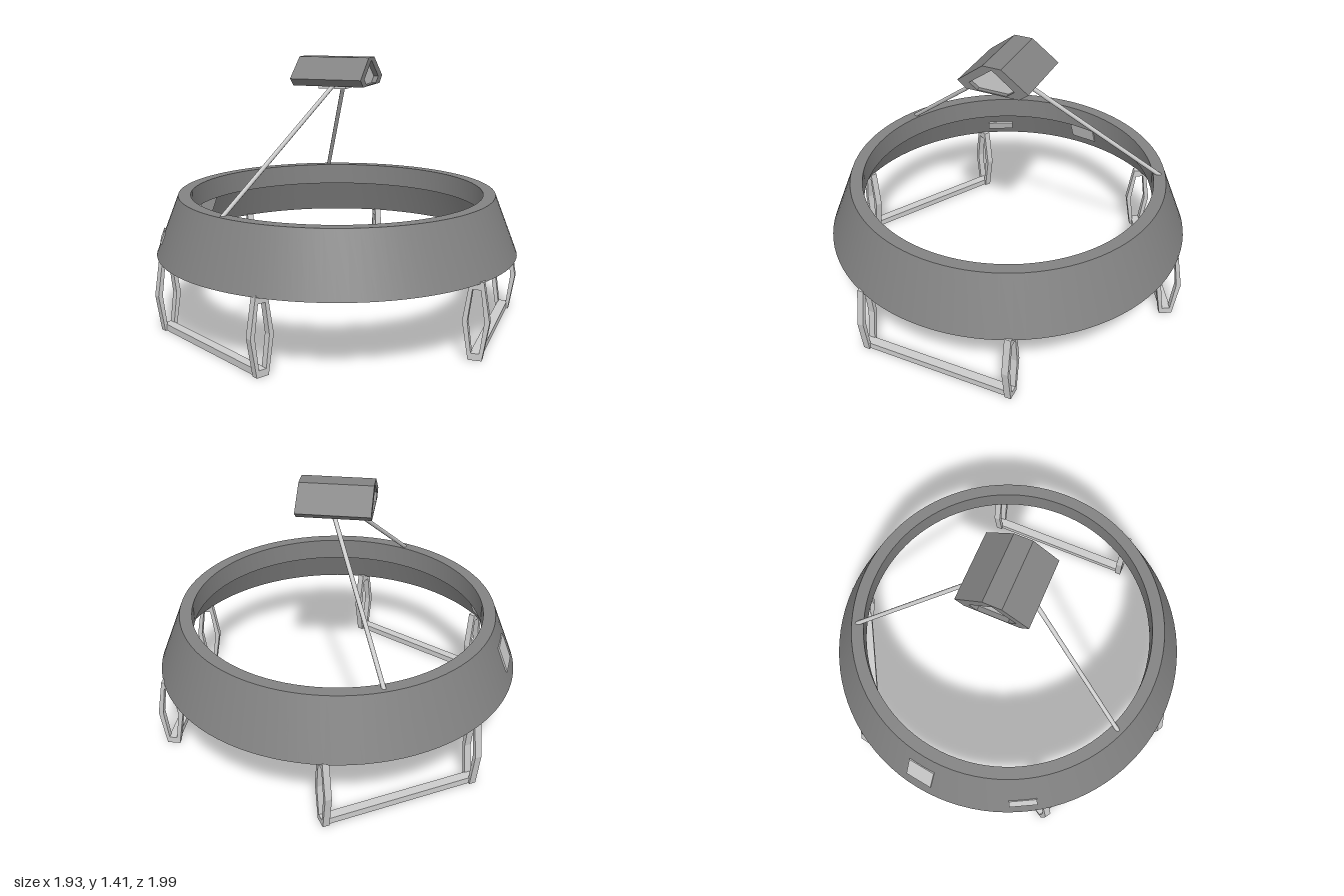
import * as THREE from 'three';
import { toCreasedNormals } from 'three/addons/utils/BufferGeometryUtils.js';

const grey = new THREE.MeshStandardMaterial({ color: 0xcccccc });
const darkGrey = new THREE.MeshStandardMaterial({ color: 0x828282 });
const vec = (pairs) => pairs.map(([x, y]) => new THREE.Vector2(x, y));

function addMesh(parent, name, geometry, material, x = 0, y = 0, z = 0) {
  const mesh = new THREE.Mesh(geometry, material);
  mesh.name = name;
  mesh.position.set(x, y, z);
  parent.add(mesh);
  return mesh;
}

// Extrudes an outline, with an optional hole, centred along its depth
function slab(outline, hole, depth) {
  const shape = new THREE.Shape(vec(outline));
  if (hole) shape.holes.push(new THREE.Path(vec(hole)));
  return new THREE.ExtrudeGeometry(shape, { depth, bevelEnabled: false }).translate(0, 0, -depth / 2);
}

// Thin rod between two points
function addRod(parent, name, from, to, radius) {
  const dir = to.clone().sub(from);
  const rod = addMesh(parent, name, new THREE.CylinderGeometry(radius, radius, dir.length(), 8), grey);
  rod.position.copy(from).add(to).multiplyScalar(0.5);
  rod.quaternion.setFromUnitVectors(new THREE.Vector3(0, 1, 0), dir.normalize());
}

export function createModel() {
  const model = new THREE.Group();
  model.name = 'ringStation';

  // Sloped ring with a thicker lip at the top of its inner side
  const profile = vec([
    [0.965, 0.388], [0.845, 0.698], [0.78, 0.698], [0.78, 0.58],
    [0.836, 0.58], [0.91, 0.388], [0.965, 0.388],
  ]);
  addMesh(model, 'ring', toCreasedNormals(new THREE.LatheGeometry(profile, 96), 0.3), darkGrey);

  // Light panels set through the sloped wall: [angle, height of centre, slope height, width]
  const slope = Math.atan2(0.12, 0.31);
  for (const [angle, y, h, w] of [
    [Math.atan2(-0.435, -0.82), 0.468, 0.055, 0.15],
    [Math.atan2(0.12, -0.9), 0.527, 0.15, 0.15],
  ]) {
    const holder = new THREE.Group();
    holder.name = 'wallPanel';
    holder.rotation.y = angle;
    const radius = 0.965 - (y - 0.388) * (0.12 / 0.31) - 0.031;
    addMesh(holder, 'panel', new THREE.BoxGeometry(0.068, h, w), grey, radius, y, 0).rotation.z = slope;
    model.add(holder);
  }

  // Three leg sets, each two hexagonal frames joined by a foot bar
  const frame = slab(
    [[0.801, 0], [0.869, 0], [0.902, 0.195], [0.869, 0.395], [0.801, 0.395], [0.769, 0.195]],
    [[0.815, 0.035], [0.856, 0.035], [0.877, 0.195], [0.856, 0.355], [0.815, 0.355], [0.794, 0.195]],
    0.035,
  );
  for (let i = 0; i < 3; i++) {
    const legs = new THREE.Group();
    legs.name = 'legSet';
    legs.position.x = 0.0135;
    legs.rotation.y = (i * Math.PI * 2) / 3;
    for (const s of [-1, 1]) addMesh(legs, 'legFrame', frame, grey, 0, 0, s * 0.407);
    addMesh(legs, 'footBar', new THREE.BoxGeometry(0.05, 0.034, 0.79), grey, 0.8355, 0.018, 0);
    model.add(legs);
  }

  // Raised cabin: a dark open-ended roof shell around a light recessed core
  const cabin = new THREE.Group();
  cabin.name = 'cabin';
  cabin.rotation.y = Math.PI / 2;
  const coreOutline = [[0, 1.398], [-0.123, 1.306], [-0.08, 1.274], [0.08, 1.274], [0.123, 1.306]];
  addMesh(cabin, 'cabinShell', slab(
    [[-0.05, 1.412], [-0.188, 1.306], [-0.142, 1.268], [0.148, 1.268], [0.196, 1.306], [0.05, 1.412]],
    coreOutline, 0.38), darkGrey);
  addMesh(cabin, 'cabinCore', slab(coreOutline, null, 0.33), grey);
  addMesh(cabin, 'cabinBase', new THREE.BoxGeometry(0.16, 0.02, 0.15), grey, 0, 1.261, 0);
  model.add(cabin);

  // Two struts carrying the cabin
  for (const s of [-1, 1]) {
    addRod(model, 'strut', new THREE.Vector3(-0.32, 0.685, s * 0.76),
      new THREE.Vector3(0.01, 1.27, s * 0.085), 0.0115);
  }
  return model;
}
